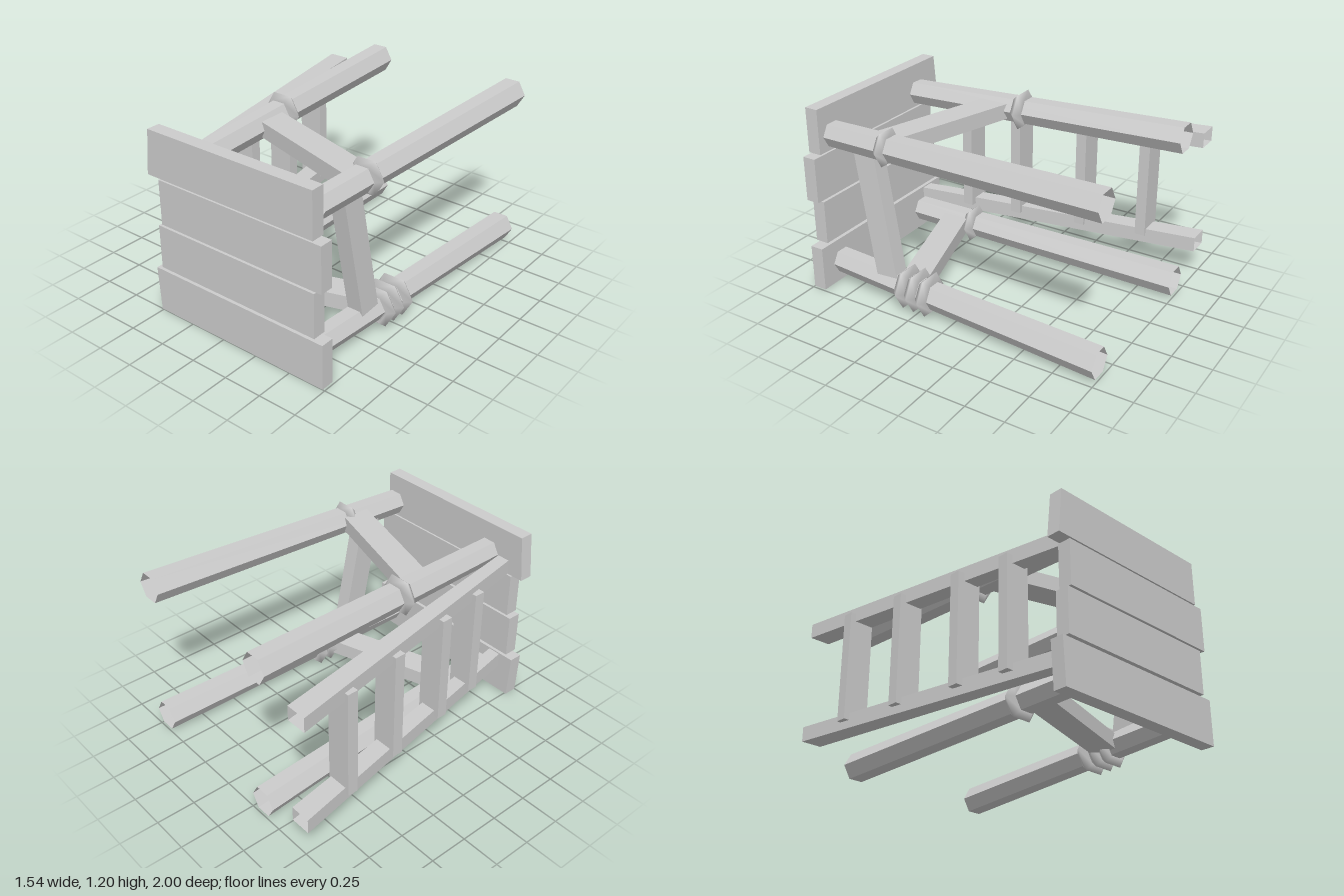
import * as THREE from 'three';

const flat = new THREE.MeshStandardMaterial({ color: 0xcccccc, flatShading: true, side: THREE.DoubleSide });
const smooth = new THREE.MeshStandardMaterial({ color: 0xcccccc });

const FRONT = 0.885, BACK = -1; // ends of the legs

export function createModel() {
  const model = new THREE.Group();
  model.name = 'plankPlatform';

  const add = (name, geometry, material = flat) => {
    const mesh = new THREE.Mesh(geometry, material);
    mesh.name = name;
    model.add(mesh);
    return mesh;
  };

  // Slides every cross-section so the axis runs from a (front) to b (back), each [x, y, z]
  const slant = (geometry, a, b) => {
    const p = geometry.attributes.position;
    for (let i = 0; i < p.count; i++) {
      const t = 0.5 - p.getZ(i);
      p.setXYZ(i,
        p.getX(i) + a[0] + (b[0] - a[0]) * t,
        p.getY(i) + a[1] + (b[1] - a[1]) * t,
        a[2] + (b[2] - a[2]) * t);
    }
    geometry.computeVertexNormals();
    return geometry;
  };

  // Deck planks, slightly irregular: [bottom, top, left bottom, left top, right]
  [
    [0, 0.29, -0.512, -0.527, 0.735],
    [0.31, 0.595, -0.478, -0.478, 0.68],
    [0.61, 0.9, -0.45, -0.45, 0.73],
    [0.91, 1.2, -0.535, -0.505, 0.675],
  ].forEach(([y0, y1, xb, xt, xr], i) => {
    const shape = new THREE.Shape([[xb, y0], [xr, y0], [xr, y1], [xt, y1]].map(p => new THREE.Vector2(...p)));
    const plank = new THREE.ExtrudeGeometry(shape, { depth: 0.087, bevelEnabled: false });
    add('plank' + (i + 1), plank.translate(0, 0, 0.913));
  });

  // Splayed hexagonal legs with rope rings: ring z positions and ring radius
  const legs = [
    { name: 'upperRight', a: [-0.272, 1.028], b: [-0.355, 1.077], rings: [0.085], r: 0.09 },
    { name: 'upperLeft', a: [0.585, 1.028], b: [0.67, 1.077], rings: [0.455], r: 0.08 },
    { name: 'lowerRight', a: [-0.272, 0.16], b: [-0.355, 0.112], rings: [0.455], r: 0.085 },
    { name: 'lowerLeft', a: [0.585, 0.16], b: [0.67, 0.112], rings: [0.175, 0.26, 0.34], r: 0.1 },
  ];
  for (const { name, a, b, rings, r } of legs) {
    const tube = new THREE.CylinderGeometry(0.081, 0.095, 1, 6, 1, true, Math.PI / 2).rotateX(Math.PI / 2);
    add(name + 'Leg', slant(tube, [...a, FRONT], [...b, BACK]));
    rings.forEach((z, i) => {
      const t = (FRONT - z) / (FRONT - BACK);
      const ring = add(name + 'Ring' + (i + 1), new THREE.TorusGeometry(r, 0.04, 4, 6), smooth);
      ring.position.set(a[0] + (b[0] - a[0]) * t, a[1] + (b[1] - a[1]) * t, z);
    });
  }

  // Braces between the legs: wide along z, running from p to q
  const brace = (name, p, q, wide, thick) => {
    const from = new THREE.Vector3(...p), to = new THREE.Vector3(...q);
    const along = to.clone().sub(from);
    const length = along.length();
    along.normalize();
    const across = new THREE.Vector3(0, 0, 1).addScaledVector(along, -along.z).normalize();
    const normal = new THREE.Vector3().crossVectors(across, along);
    const mesh = add(name, new THREE.BoxGeometry(thick, wide, length));
    mesh.quaternion.setFromRotationMatrix(new THREE.Matrix4().makeBasis(normal, across, along));
    mesh.position.copy(from).add(to).multiplyScalar(0.5);
  };
  brace('upperBrace', [-0.27, 1.04, 0.25], [0.57, 1.04, 0.5], 0.178, 0.1);
  brace('lowerBrace', [-0.25, 0.15, 0.575], [0.57, 0.15, 0.32], 0.17, 0.1);
  brace('sideBrace', [0.585, 1.0, 0.613], [0.61, 0.17, 0.462], 0.148, 0.1);

  // Ladder rails: open-ended box beams that widen toward the back
  for (const [name, y] of [['lowerRail', 0.234], ['upperRail', 0.957]]) {
    const beam = new THREE.BoxGeometry(1, 0.096, 1);
    beam.setIndex(Array.from(beam.index.array.slice(0, 24)));
    const p = beam.attributes.position;
    for (let i = 0; i < p.count; i++) p.setX(i, p.getX(i) * (p.getZ(i) > 0 ? 0.085 : 0.135));
    add(name, slant(beam, [-0.377, y, 0.913], [-0.708, y, BACK]));
  }

  // Ladder rungs
  [[-0.658, -0.645], [-0.585, -0.235], [-0.508, 0.21], [-0.442, 0.55]].forEach(([x, z], i) => {
    add('rung' + (i + 1), new THREE.BoxGeometry(0.165, 0.725, 0.07)).position.set(x, 0.6, z);
  });

  return model;
}
